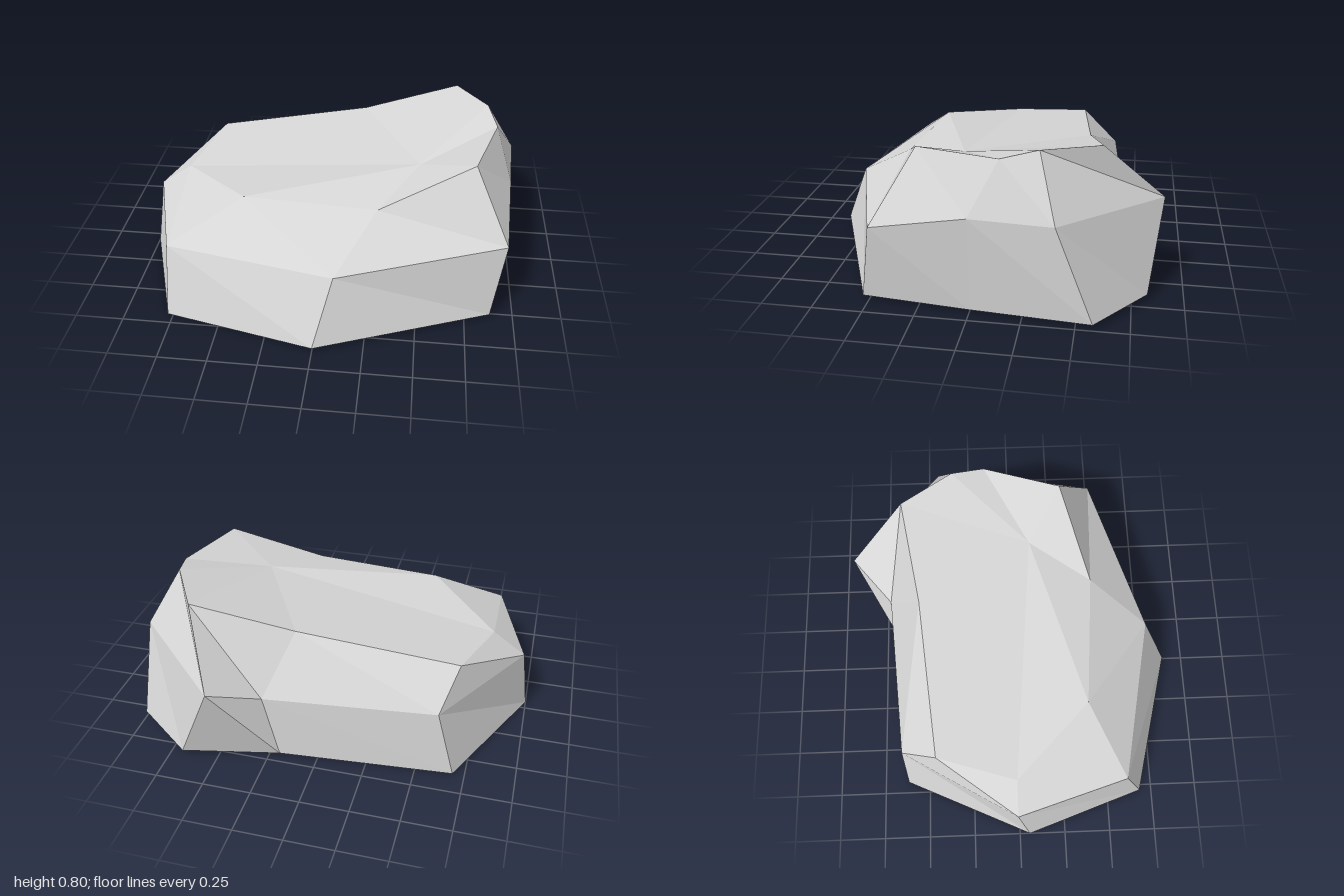
import * as THREE from 'three';

// Cross-sections of the boulder, each running left to front to right to back
const baseRing = [
  [-1, 0, 0.055], [-0.78, 0, 0.685], [0, 0.025, 0.885], [0.88, 0.02, 0.53], [0.92, 0.01, 0],
  [1, 0.03, -0.58], [0.68, 0.03, -0.825], [0.2, 0, -0.69], [-0.69, 0, -0.62],
];
const shoulderRing = [
  [-0.96, 0.36, -0.01], [-0.78, 0.36, 0.575], [0.09, 0.36, 0.745], [0.94, 0.41, 0.47], [0.97, 0.5, 0],
  [1, 0.5, -0.4], [0.49, 0.465, -0.885], [0.28, 0.34, -0.69], [-0.6, 0.36, -0.62],
];
const rimRing = [
  [-0.79, 0.48, -0.01], [-0.41, 0.555, 0.375], [0.28, 0.56, 0.43], [0.76, 0.755, 0.275], [0.88, 0.76, -0.135],
  [0.835, 0.795, -0.31], [0.67, 0.775, -0.585], [0.15, 0.645, -0.5], [-0.67, 0.53, -0.425],
];
const hollow = [0.48, 0.64, 0.1];
const underside = [0, 0.01, 0];

// Facets between two rings
function band(lower, upper) {
  return lower.flatMap((a, i) => {
    const j = (i + 1) % lower.length;
    return [a, lower[j], upper[i], lower[j], upper[j], upper[i]];
  });
}

// Facets from a ring to one point
function fan(ring, tip, flip) {
  return ring.flatMap((a, i) => {
    const b = ring[(i + 1) % ring.length];
    return flip ? [b, a, tip] : [a, b, tip];
  });
}

export function createModel() {
  const model = new THREE.Group();
  model.name = 'boulder';

  const stone = new THREE.MeshStandardMaterial({ color: 0xd6d6d6, flatShading: true });
  stone.name = 'pale grey stone';

  const addPart = (name, corners) => {
    const geometry = new THREE.BufferGeometry();
    geometry.setAttribute('position', new THREE.Float32BufferAttribute(corners.flat(), 3));
    geometry.computeVertexNormals();
    const mesh = new THREE.Mesh(geometry, stone);
    mesh.name = name;
    model.add(mesh);
  };

  addPart('lowerSides', band(baseRing, shoulderRing));
  addPart('upperSlopes', band(shoulderRing, rimRing));
  addPart('dishedTop', fan(rimRing, hollow, false));
  addPart('underside', fan(baseRing, underside, true));
  return model;
}
